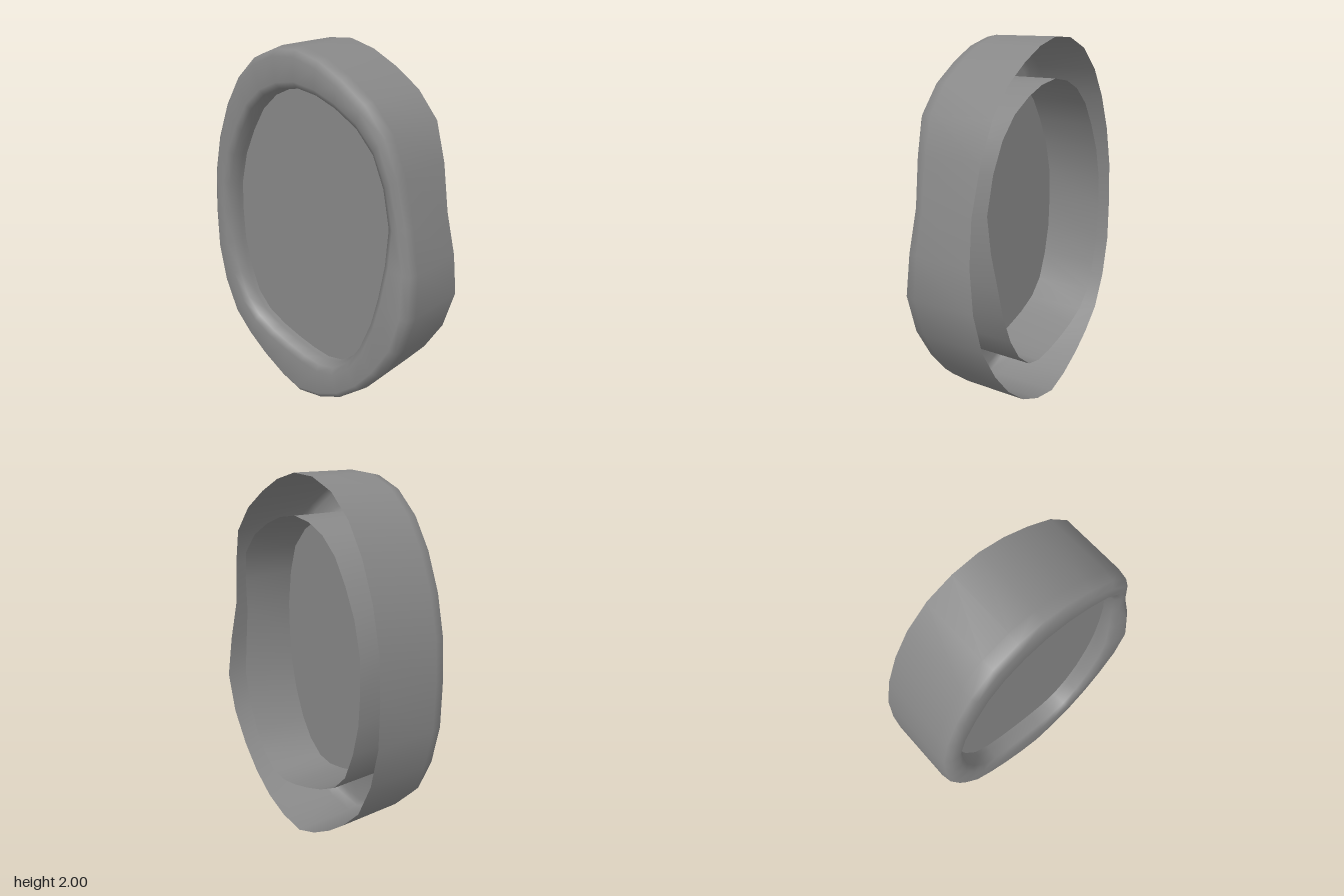
import * as THREE from 'three';

// Outer outline and recess outline, matched point for point, clockwise from the top
const outer = [
  [-0.03, 2], [0.12, 1.96], [0.26, 1.89], [0.41, 1.79], [0.53, 1.65], [0.6, 1.45], [0.65, 1.2],
  [0.695, 0.97], [0.705, 0.74], [0.64, 0.52], [0.53, 0.34], [0.41, 0.2], [0.27, 0.09], [0.12, 0.025],
  [-0.04, 0], [-0.18, 0.05], [-0.32, 0.13], [-0.44, 0.22], [-0.56, 0.34], [-0.65, 0.53], [-0.7, 0.75],
  [-0.705, 1], [-0.69, 1.23], [-0.64, 1.45], [-0.56, 1.65], [-0.46, 1.81], [-0.33, 1.93], [-0.18, 1.99],
];
const inner = [
  [-0.03, 1.79], [0.1, 1.77], [0.22, 1.725], [0.35, 1.65], [0.45, 1.54], [0.5, 1.38], [0.525, 1.18],
  [0.52, 0.99], [0.5, 0.81], [0.46, 0.65], [0.39, 0.48], [0.31, 0.36], [0.21, 0.28], [0.11, 0.26],
  [0, 0.275], [-0.12, 0.305], [-0.24, 0.345], [-0.36, 0.405], [-0.45, 0.5], [-0.51, 0.65], [-0.55, 0.82],
  [-0.56, 1], [-0.555, 1.17], [-0.51, 1.35], [-0.44, 1.5], [-0.36, 1.63], [-0.26, 1.72], [-0.15, 1.77],
];

// Half of the cross-section, back to front: [inset from the outline, z]; the other half mirrors it
const half = [[0, -0.228], [0, 0.14], [0.012, 0.2], [0.045, 0.224]];

// The frame gets thinner at the hollow on its +x side
function thinning(x, y) {
  const d = Math.min(Math.abs(y - 1.2) / 0.53, 1);
  return x > 0 ? 0.19 * Math.cos(d * Math.PI / 2) ** 2 : 0;
}

function frameGeometry() {
  const n = outer.length, pos = [], index = [];
  const addLoop = (from, to, inset, z) => from.forEach(([x, y], i) => {
    const t = inset / Math.hypot(to[i][0] - x, to[i][1] - y);
    pos.push(
      THREE.MathUtils.lerp(x, to[i][0], t),
      THREE.MathUtils.lerp(y, to[i][1], t),
      z * (1 - thinning(...outer[i])),
    );
  });
  half.forEach(([inset, z]) => addLoop(outer, inner, inset, z));
  [...half].reverse().forEach(([inset, z]) => addLoop(inner, outer, inset, z));

  for (let j = 0; j < half.length * 2 - 1; j++) {
    for (let i = 0; i < n; i++) {
      const k = (i + 1) % n;
      const a = j * n + i, b = j * n + k, c = a + n, d = b + n;
      index.push(a, c, b, b, c, d);
    }
  }
  const geo = new THREE.BufferGeometry();
  geo.setAttribute('position', new THREE.Float32BufferAttribute(pos, 3));
  geo.setIndex(index);
  geo.computeVertexNormals();
  return geo;
}

export function createModel() {
  const group = new THREE.Group();
  group.name = 'ovalFrame';
  const material = new THREE.MeshStandardMaterial({ color: 0x888888, side: THREE.DoubleSide });

  // Hollow frame: outer wall, rounded front rim and inner wall, open at the back
  const frame = new THREE.Mesh(frameGeometry(), material);
  frame.name = 'frame';

  // Flat panel set just behind the rim
  const shape = new THREE.Shape(inner.map(([x, y]) => new THREE.Vector2(x, y)));
  const panel = new THREE.Mesh(new THREE.ShapeGeometry(shape), material);
  panel.name = 'panel';
  panel.position.z = 0.112;

  group.add(frame, panel);
  return group;
}
